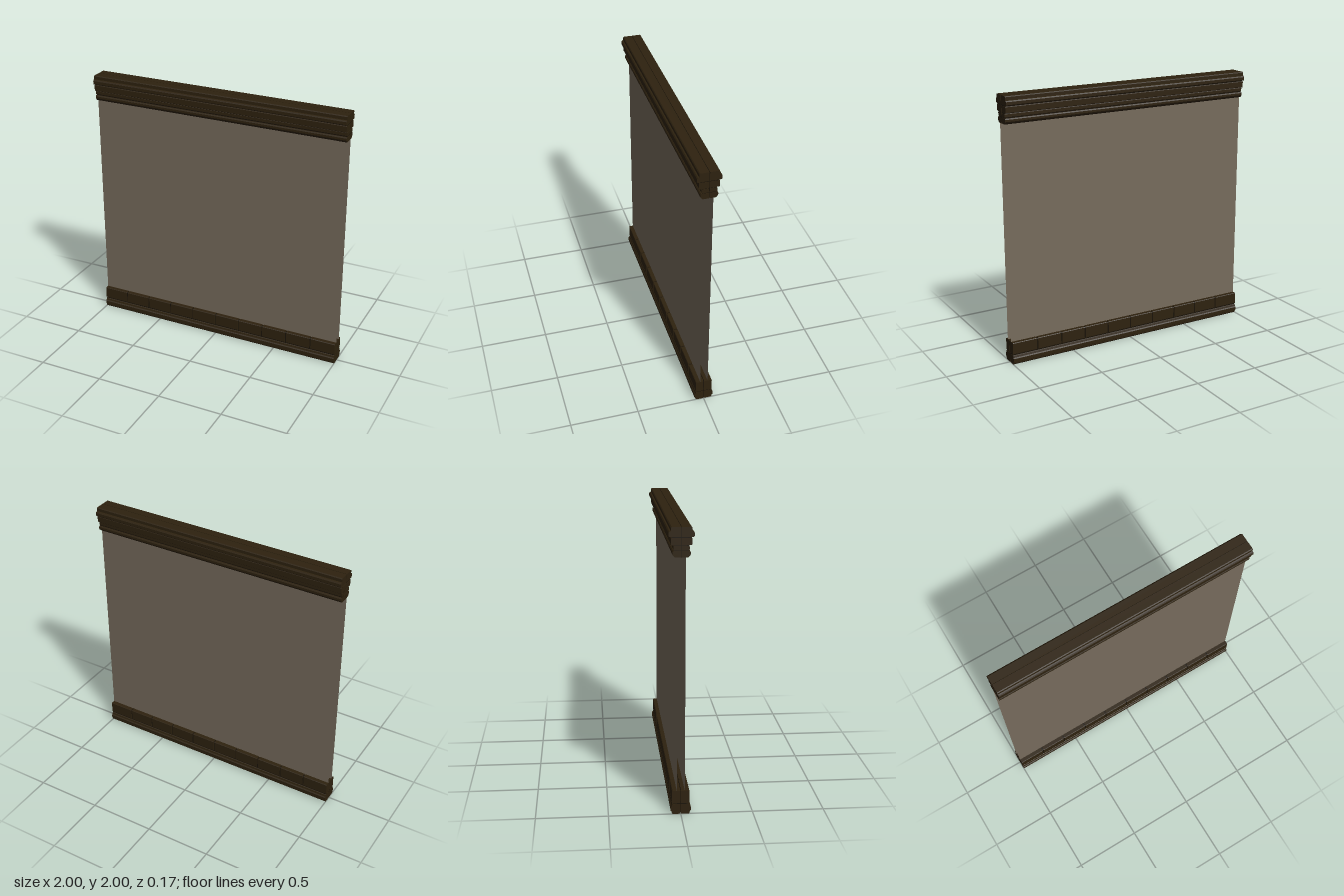
import * as THREE from 'three';

const wallPaint = new THREE.MeshStandardMaterial({ color: 0x766b5c, side: THREE.DoubleSide });
wallPaint.name = 'wall paint';
const darkWood = new THREE.MeshStandardMaterial({ color: 0x2e220f });
darkWood.name = 'dark wood';
const grooveWood = new THREE.MeshStandardMaterial({ color: 0x1a1308 });
grooveWood.name = 'groove shadow wood';

// Extrudes a half profile of [z, y] points along x, centred on x
function moulding(name, points, length, material, x = 0) {
  const shape = new THREE.Shape(points.map(([z, y]) => new THREE.Vector2(z, y)));
  const geometry = new THREE.ExtrudeGeometry(shape, { depth: length, bevelEnabled: false });
  geometry.rotateY(-Math.PI / 2).translate(length / 2 + x, 0, 0);
  const mesh = new THREE.Mesh(geometry, material);
  mesh.name = name;
  return mesh;
}

// Rectangular strip with chamfered outer corners
function strip(depth, y0, y1, c = 0.004) {
  return [[0.002, y0], [depth - c, y0], [depth, y0 + c], [depth, y1 - c], [depth - c, y1], [0.002, y1]];
}

function createSide(name) {
  const side = new THREE.Group();
  side.name = name;

  // Wall face
  const wall = new THREE.Mesh(new THREE.PlaneGeometry(2, 1.66), wallPaint);
  wall.position.set(0, 0.985, 0.028);
  wall.name = 'wallPanel';
  side.add(wall);

  // Cornice: crown, frieze, neck and lower bead
  side.add(
    moulding('corniceCrown', [
      [0.002, 1.934], [0.079, 1.934], [0.085, 1.941], [0.085, 1.962],
      [0.079, 1.97], [0.07, 1.972], [0.07, 1.994], [0.064, 2], [0.002, 2],
    ], 2, darkWood),
    moulding('corniceFrieze', strip(0.07, 1.88, 1.928), 2, darkWood),
    moulding('corniceNeck', strip(0.053, 1.847, 1.876), 2, darkWood),
    moulding('corniceBead', [
      [0.002, 1.8], [0.044, 1.8], [0.054, 1.81], [0.06, 1.819],
      [0.06, 1.834], [0.054, 1.842], [0.002, 1.842],
    ], 2, darkWood),
    moulding('corniceGrooves', [
      [0, 1.803], [0.04, 1.803], [0.048, 1.82], [0.048, 1.879],
      [0.064, 1.881], [0.064, 1.99], [0, 1.996],
    ], 1.996, grooveWood),
  );

  // Baseboard: plinth moulding with a row of blocks above
  side.add(
    moulding('plinth', [
      [0.002, 0], [0.055, 0], [0.062, 0.008], [0.063, 0.02], [0.07, 0.024],
      [0.07, 0.048], [0.063, 0.055], [0.059, 0.069], [0.055, 0.072], [0.002, 0.072],
    ], 2, darkWood),
    moulding('baseboardGrooves', strip(0.054, 0.004, 0.166), 1.996, grooveWood),
  );
  for (let i = 0; i < 10; i++) {
    side.add(moulding('baseboardBlock', strip(0.06, 0.079, 0.17), 0.19, darkWood, -0.9 + i * 0.2));
  }
  // Block row end pieces close the half gaps at the two ends
  for (const x of [-0.9975, 0.9975]) {
    side.add(moulding('baseboardEnd', strip(0.06, 0.079, 0.17), 0.005, darkWood, x));
  }
  return side;
}

export function createModel() {
  const model = new THREE.Group();
  model.name = 'panelledWall';
  const front = createSide('frontSide');
  const back = createSide('backSide');
  back.rotation.y = Math.PI;
  model.add(front, back);
  return model;
}
